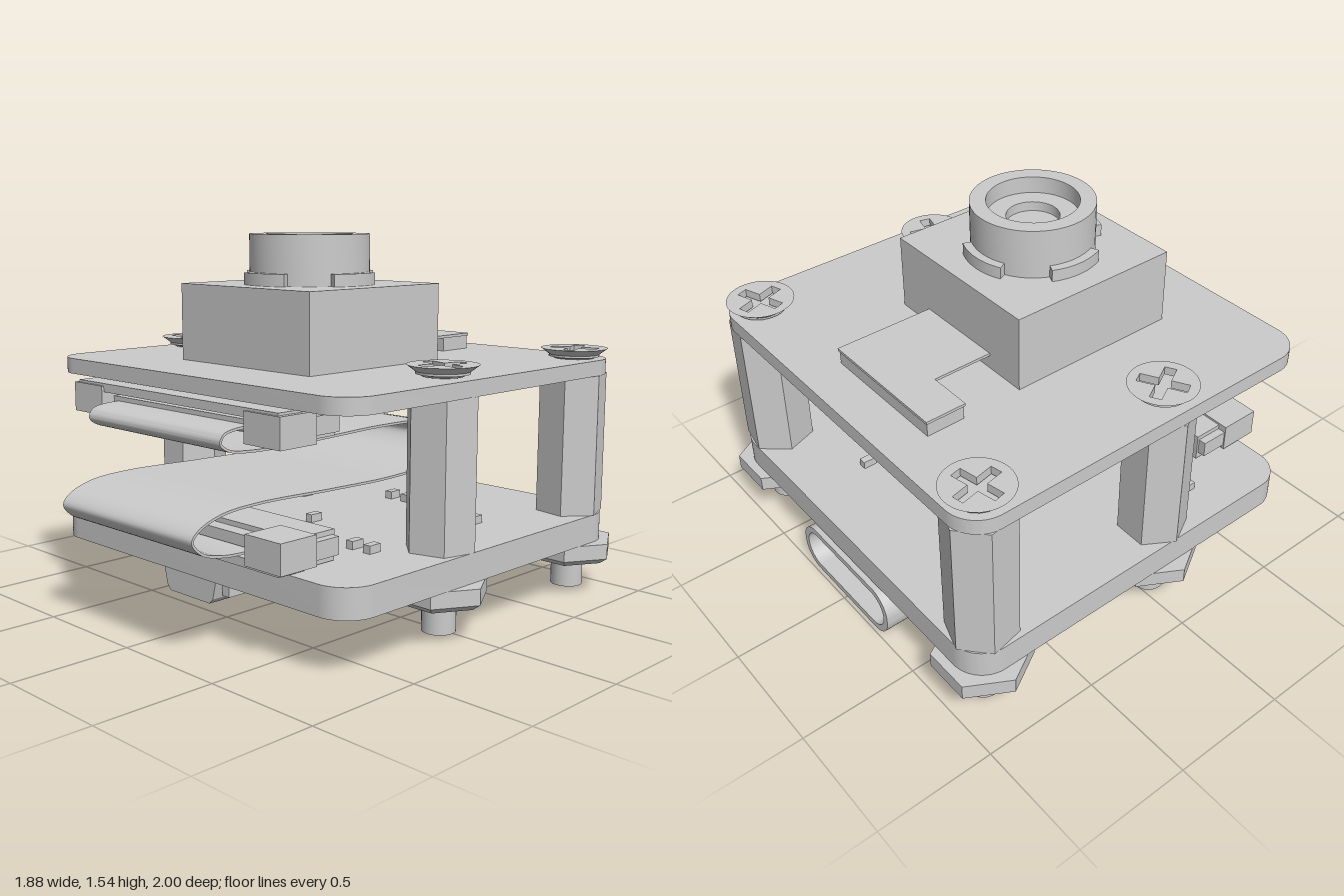
import * as THREE from 'three';
import { toCreasedNormals } from 'three/addons/utils/BufferGeometryUtils.js';

const mat = new THREE.MeshStandardMaterial({ color: 0xcccccc });

export function createModel() {
  const root = new THREE.Group();
  const add = (name, geo, x = 0, y = 0, z = 0, parent = root) => {
    const m = new THREE.Mesh(geo, mat);
    m.name = name;
    m.position.set(x, y, z);
    parent.add(m);
    return m;
  };
  const group = (name, x = 0, y = 0, z = 0) => {
    const g = new THREE.Group();
    g.name = name;
    g.position.set(x, y, z);
    root.add(g);
    return g;
  };
  // box given by its limits
  const box = (name, x0, x1, y0, y1, z0, z1, parent = root) =>
    add(name, new THREE.BoxGeometry(x1 - x0, y1 - y0, z1 - z0), (x0 + x1) / 2, (y0 + y1) / 2, (z0 + z1) / 2, parent);
  const crease = (g, a = 0.5) => toCreasedNormals(g, a);
  const extrude = (shape, depth) =>
    crease(new THREE.ExtrudeGeometry(shape, { depth, bevelEnabled: false, curveSegments: 12 }));
  // plan shape (x, z) hanging down from y = 0
  const plate = (shape, depth) => extrude(shape, depth).rotateX(Math.PI / 2);
  const lathe = (pts, n = 40, a = 0.5) =>
    crease(new THREE.LatheGeometry(pts.map(p => new THREE.Vector2(...p)), n), a);
  const poly = pts => new THREE.Shape(pts.map(p => new THREE.Vector2(...p)));
  const roundRect = (x0, x1, y0, y1, r, S = THREE.Shape) => {
    const s = new S();
    s.absarc(x1 - r, y1 - r, r, 0, Math.PI / 2);
    s.absarc(x0 + r, y1 - r, r, Math.PI / 2, Math.PI);
    s.absarc(x0 + r, y0 + r, r, Math.PI, 1.5 * Math.PI);
    s.absarc(x1 - r, y0 + r, r, 1.5 * Math.PI, 2 * Math.PI);
    s.closePath();
    return s;
  };

  // Circuit boards
  const outline = roundRect(-0.875, 0.875, -0.965, 0.71, 0.14);
  add('upperBoard', plate(outline, 0.065), 0, 1.015, 0);
  add('lowerBoard', plate(outline, 0.12), 0, 0.35, 0);

  // Corner hardware: standoff, cross-head screw and nut
  const a = 0.1, b = 0.024;
  const cross = [[a, -b], [a, b], [b, b], [b, a], [-b, a], [-b, b], [-a, b], [-a, -b], [-b, -b], [-b, -a], [b, -a], [b, -b]];
  const disc = new THREE.Shape().absarc(0, 0, 0.106, 0, Math.PI * 2);
  disc.holes.push(new THREE.Path(cross.map(p => new THREE.Vector2(...p))));
  const headTop = plate(disc, 0.035);
  const headCone = lathe([[0.08, 0], [0.14, 0.045], [0.105, 0.045]]);
  const nut = lathe([[0, 0], [0.165, 0], [0.2, 0.025], [0.2, 0.09], [0, 0.09]], 6, 0.1).rotateY(Math.PI / 2);
  const standoff = new THREE.CylinderGeometry(0.145, 0.145, 0.6, 6).toNonIndexed();
  standoff.computeVertexNormals();
  const shank = crease(new THREE.CylinderGeometry(0.068, 0.068, 0.13, 28));
  for (const [x, z, turn] of [[-0.74, -0.83, 0.2], [0.74, -0.83, 0.35], [-0.74, 0.05, 0.5], [0.74, 0.05, -0.25]]) {
    const g = group('cornerFastener', x, 0, z);
    add('standoff', standoff, 0, 0.65, 0, g).rotation.y = turn;
    const top = z > 0 ? 1.019 : 1.012;
    add('screwHeadRim', headCone, 0, top, 0, g);
    add('screwHeadCross', headTop, 0, top + 0.045, 0, g).rotation.y = turn;
    add('nut', nut, 0, 0.14, 0, g);
    add('screwEnd', shank, 0, 0.085, 0, g);
  }

  // Camera housing and lens
  box('cameraHousing', -0.38, 0.38, 1.015, 1.335, -0.355, 0.4);
  add('lensBarrel', lathe([[0.25, 1.335], [0.25, 1.54], [0.185, 1.54], [0.185, 1.47], [0.107, 1.47], [0.107, 1.43], [0, 1.43]], 48), 0, 0, 0.025);
  for (let i = 0; i < 4; i++) {
    const c = i * Math.PI / 2, s = new THREE.Shape();
    s.absarc(0, 0, 0.285, c - 0.43, c + 0.43, false);
    s.absarc(0, 0, 0.245, c + 0.43, c - 0.43, true);
    s.closePath();
    add('lensTab', plate(s, 0.05), 0, 1.385, 0.025);
  }

  // Flat lead and plug behind the camera
  add('cameraLead', plate(poly([[-0.39, -0.79], [0.2, -0.79], [0.2, -0.355], [-0.2, -0.355], [-0.2, -0.615], [-0.39, -0.615]]), 0.012), 0, 1.085, 0);
  box('cameraPlug', -0.385, 0.195, 1.015, 1.075, -0.785, -0.62);

  // Ribbon connectors: lower, and the same turned over above
  const connector = (name, y, flip) => {
    const g = group(name, 0, y, 0);
    box('body', -0.58, 0.58, 0, 0.12, 0.47, 0.66, g);
    box('floor', -0.6, 0.6, 0, 0.035, 0.64, 0.77, g);
    box('latch', -0.43, 0.43, 0.055, 0.1, 0.64, 0.72, g);
    for (const s of [-1, 1]) {
      box('endBlock', s * 0.525 - 0.095, s * 0.525 + 0.095, 0.01, 0.13, 0.6, 0.78, g);
      box('sideLug', s * 0.59 - 0.025, s * 0.59 + 0.025, 0.03, 0.1, 0.48, 0.62, g);
    }
    for (let i = 0; i < 20; i++) {
      const x = -0.38 + i * 0.04;
      box('contact', x - 0.01, x + 0.01, 0, 0.02, 0.43, 0.48, g);
    }
    if (flip) g.rotation.z = Math.PI;
  };
  connector('lowerRibbonConnector', 0.355, false);
  connector('upperRibbonConnector', 0.945, true);

  // Ribbon cable, a thin S-shaped strip
  const path = new THREE.CatmullRomCurve3([
    [0.66, 0.865], [0.78, 0.865], [0.845, 0.85], [0.86, 0.82], [0.82, 0.79], [0.72, 0.775], [0.4, 0.773], [0, 0.78],
    [-0.25, 0.768], [-0.38, 0.73], [-0.42, 0.68], [-0.37, 0.62], [-0.24, 0.575], [-0.05, 0.56], [0.3, 0.565],
    [0.7, 0.575], [0.87, 0.56], [0.97, 0.52], [0.995, 0.485], [0.95, 0.435], [0.86, 0.41], [0.78, 0.403], [0.66, 0.403],
  ].map(([z, y]) => new THREE.Vector3(-z, y, 0)));
  const sideA = [], sideB = [];
  for (let i = 0; i <= 120; i++) {
    const p = path.getPoint(i / 120), t = path.getTangent(i / 120);
    sideA.push([p.x - t.y * 0.005, p.y + t.x * 0.005]);
    sideB.unshift([p.x + t.y * 0.005, p.y - t.x * 0.005]);
  }
  add('ribbonCable', extrude(poly([...sideA, ...sideB]), 0.8).rotateY(Math.PI / 2), -0.4, 0, 0);

  // Rear socket: hollow rounded shell with a tongue
  const shell = roundRect(-0.312, 0.312, 0, 0.22, 0.1);
  shell.holes.push(roundRect(-0.285, 0.285, 0.027, 0.193, 0.08, THREE.Path));
  const socket = group('rearSocket');
  add('shell', extrude(shell, 0.555), 0, 0, -0.985, socket);
  add('shellBack', extrude(roundRect(-0.29, 0.29, 0.02, 0.2, 0.08), 0.14), 0, 0, -0.58, socket);
  box('tongue', -0.22, 0.22, 0.09, 0.13, -0.93, -0.5, socket);
  for (const s of [-1, 1]) for (const z of [-0.83, -0.47])
    box('shellTab', s * 0.305 - 0.02, s * 0.305 + 0.02, 0.1, 0.24, z - 0.05, z + 0.05, socket);

  // Small front plug connector under the lower board
  const plug = group('lowerPlug');
  add('plugBody', extrude(poly([[-0.14, 0.15], [-0.12, 0.13], [0.12, 0.13], [0.14, 0.15], [0.16, 0.23], [-0.16, 0.23]]), 0.27), 0, 0, 0.42, plug);
  for (const x of [-0.105, -0.035, 0.035, 0.105]) box('plugPin', x - 0.012, x + 0.012, 0.19, 0.23, 0.35, 0.43, plug);
  for (const s of [-1, 1]) box('plugFoot', s * 0.17 - 0.02, s * 0.17 + 0.02, 0.16, 0.23, 0.5, 0.65, plug);

  // Chips, x, z, width, length and height; face is the board surface, dir its side
  const chips = (name, face, dir, list) => {
    for (const [x, z, w, l, h] of list) {
      const y = face + dir * h;
      box(name, x - w / 2, x + w / 2, Math.min(face, y), Math.max(face, y), z - l / 2, z + l / 2);
    }
  };
  chips('lowerChip', 0.23, -1, [
    [0, -0.1, 0.5, 0.5, 0.03], [-0.4, 0.06, 0.2, 0.2, 0.04], [-0.65, -0.53, 0.16, 0.2, 0.065], [0.55, -0.22, 0.12, 0.16, 0.06],
    [-0.42, -0.33, 0.1, 0.16, 0.06], [0.42, -0.5, 0.09, 0.12, 0.05],
  ]);
  chips('upperChip', 0.95, -1, [
    [0.34, -0.7, 0.2, 0.14, 0.03], [-0.47, -0.45, 0.16, 0.2, 0.07], [-0.12, -0.5, 0.14, 0.12, 0.05], [0.45, -0.22, 0.12, 0.14, 0.06],
  ]);
  // clusters of tiny parts: centre, columns, rows
  const clusters = (name, face, dir, h, list) => {
    for (const [cx, cz, nx, nz] of list)
      for (let i = 0; i < nx; i++) for (let j = 0; j < nz; j++)
        chips(name, face, dir, [[cx + (i - (nx - 1) / 2) * 0.09, cz + (j - (nz - 1) / 2) * 0.09, 0.035, 0.06, h]]);
  };
  clusters('lowerSmallPart', 0.23, -1, 0.035, [[0.5, 0.28, 3, 2], [-0.5, 0.27, 3, 2], [0.7, -0.35, 2, 3], [-0.42, -0.6, 2, 3], [-0.6, -0.28, 2, 2]]);
  clusters('upperSmallPart', 0.95, -1, 0.03, [[-0.12, -0.78, 3, 2], [0.4, 0.25, 2, 2], [-0.4, 0.25, 3, 1], [-0.7, -0.35, 1, 3], [0.65, -0.4, 1, 3]]);
  clusters('innerSmallPart', 0.35, 1, 0.033, [[0.6, -0.3, 1, 2], [-0.3, -0.2, 2, 1], [0.1, -0.45, 2, 1], [-0.6, -0.6, 1, 1], [0.3, -0.65, 1, 1], [-0.69, 0.3, 1, 1], [0.55, 0.28, 2, 1], [0.1, 0.1, 1, 1]]);

  return root;
}
